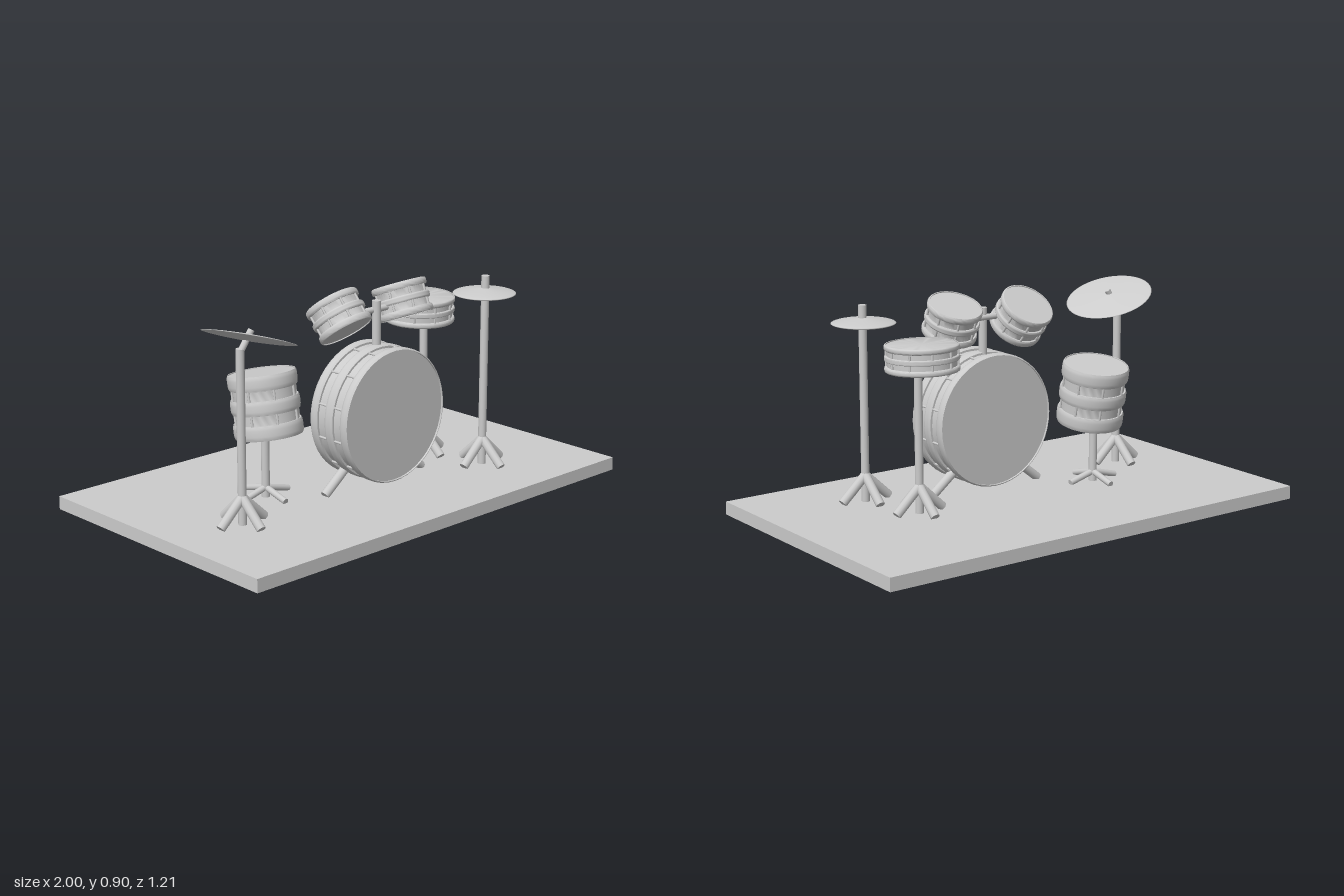
import * as THREE from 'three';
import { toCreasedNormals } from 'three/addons/utils/BufferGeometryUtils.js';

const material = new THREE.MeshStandardMaterial({ color: 0xcccccc });
const FLOOR = 0.055;

function add(parent, name, geometry) {
  const mesh = new THREE.Mesh(geometry, material);
  mesh.name = name;
  parent.add(mesh);
  return mesh;
}

// Round bar between two points
function bar(parent, name, from, to, radius, sides = 16) {
  const a = new THREE.Vector3(...from);
  const b = new THREE.Vector3(...to);
  const dir = b.clone().sub(a);
  const mesh = add(parent, name, new THREE.CylinderGeometry(radius, radius, dir.length(), sides));
  mesh.position.copy(a).add(b).multiplyScalar(0.5);
  mesh.quaternion.setFromUnitVectors(new THREE.Vector3(0, 1, 0), dir.normalize());
  return mesh;
}

// Drum along y: turned body with two hoops, a middle band, inset heads and tension rods
function drum(name, radius, height, { hoop, band, step, rods, inset = 0.004 }) {
  const group = new THREE.Group();
  group.name = name;
  const h = height / 2;
  const shell = radius - step;
  const rim = radius - 0.008;
  const profile = [[0, -h + inset], [rim, -h + inset], [rim, -h]];

  // Rounded ridge between two heights
  const ridge = (y0, y1) => {
    const w = y1 - y0;
    profile.push([shell, y0]);
    for (const [t, k] of [[0, 0.6], [0.12, 0.88], [0.3, 1], [0.7, 1], [0.88, 0.88], [1, 0.6]]) {
      profile.push([shell + step * k, y0 + w * t]);
    }
    profile.push([shell, y1]);
  };
  ridge(-h, -h + hoop);
  ridge(-band / 2, band / 2);
  ridge(h - hoop, h);
  profile.push([rim, h], [rim, h - inset], [0, h - inset]);

  // The hoops' outer faces start directly at the rim
  const points = profile
    .filter(([r, y]) => !(r === shell && Math.abs(y) === h))
    .map(([r, y]) => new THREE.Vector2(r, y));
  add(group, 'drumBody', toCreasedNormals(new THREE.LatheGeometry(points, 48), 0.75));

  for (let i = 0; i < rods; i++) {
    const a = ((i + 0.5) / rods) * Math.PI * 2;
    const r = shell + 0.003;
    const x = r * Math.sin(a);
    const z = r * Math.cos(a);
    bar(group, 'tensionRod', [x, -h + hoop / 2, z], [x, h - hoop / 2, z], 0.005, 8);
  }
  return group;
}

// Pole with four splayed legs
function stand(name, x, z, top, hub, spread, legRadius) {
  const group = new THREE.Group();
  group.name = name;
  group.position.set(x, 0, z);
  bar(group, 'pole', [0, FLOOR, 0], [0, top, 0], 0.017);
  for (let i = 0; i < 4; i++) {
    const a = (i * Math.PI) / 2;
    const foot = [Math.cos(a) * spread, FLOOR + 0.008, Math.sin(a) * spread];
    bar(group, 'standLeg', [0, hub, 0], foot, legRadius, 12);
  }
  return group;
}

// Lens-shaped cymbal
function cymbal(parent, name, radius, halfThickness) {
  const points = [];
  for (let i = 0; i <= 16; i++) {
    const t = -1 + i / 8;
    const k = 1 - Math.abs(t);
    points.push(new THREE.Vector2(
      radius * Math.cos((t * Math.PI) / 2),
      Math.sign(t) * halfThickness * Math.pow(1 - k, 1.2),
    ));
  }
  points[0].x = points[16].x = 0;
  return add(parent, name, new THREE.LatheGeometry(points, 40));
}

export function createModel() {
  const model = new THREE.Group();
  model.name = 'drumKit';

  add(model, 'platform', new THREE.BoxGeometry(2, FLOOR, 1.212)).position.y = FLOOR / 2;

  // Bass drum, lying along z, with two spurs
  const bass = drum('bassDrum', 0.278, 0.21, { hoop: 0.04, band: 0.045, step: 0.014, rods: 12, inset: 0.008 });
  bass.rotation.x = Math.PI / 2;
  bass.position.set(0.045, 0.362, 0.149);
  model.add(bass);
  for (const s of [-1, 1]) {
    bar(model, 'bassSpur', [0.045 + s * 0.13, 0.175, 0.13], [0.045 + s * 0.275, 0.06, 0.13], 0.019);
  }

  // Tom mount
  bar(model, 'tomPost', [0.045, 0.62, 0.14], [0.045, 0.82, 0.14], 0.018);
  bar(model, 'tomCrossbar', [-0.04, 0.78, 0.13], [0.13, 0.78, 0.13], 0.013);

  // Toms, floor tom and snare
  const drums = [
    ['rightTom', 0.114, 0.14, [-0.115, 0.773, 0.091], [-0.66, 0, 0.06], 0.028, 8],
    ['leftTom', 0.114, 0.138, [0.212, 0.79, 0.119], [-0.385, 0, 0], 0.028, 8],
    ['floorTom', 0.14, 0.257, [-0.383, 0.438, -0.05], [-0.175, 0, 0], 0.06, 8],
    ['snareDrum', 0.149, 0.108, [0.455, 0.692, -0.022], [0.03, 0, 0], 0.022, 10],
  ];
  for (const [name, radius, height, position, rotation, hoop, rods] of drums) {
    const d = drum(name, radius, height, { hoop, band: hoop * 0.95, step: 0.011, rods });
    d.position.set(...position);
    d.rotation.set(...rotation);
    model.add(d);
  }

  // Stands
  model.add(
    stand('snareStand', 0.46, 0, 0.66, 0.165, 0.11, 0.019),
    stand('floorTomStand', -0.398, -0.037, 0.34, 0.095, 0.12, 0.013),
    stand('rightCymbalStand', -0.675, 0.145, 0.755, 0.165, 0.11, 0.019),
    stand('leftCymbalStand', 0.54, 0.272, 0.865, 0.165, 0.11, 0.019),
  );

  // Cymbals, the right one tilted on a short arm
  bar(model, 'cymbalArm', [-0.678, 0.735, 0.145], [-0.622, 0.82, 0.15], 0.013);
  const crash = cymbal(model, 'rightCymbal', 0.185, 0.014);
  crash.position.set(-0.63, 0.79, 0.147);
  crash.rotation.set(-0.13, 0, -0.34);
  cymbal(model, 'leftCymbal', 0.131, 0.024).position.set(0.537, 0.792, 0.27);

  return model;
}
